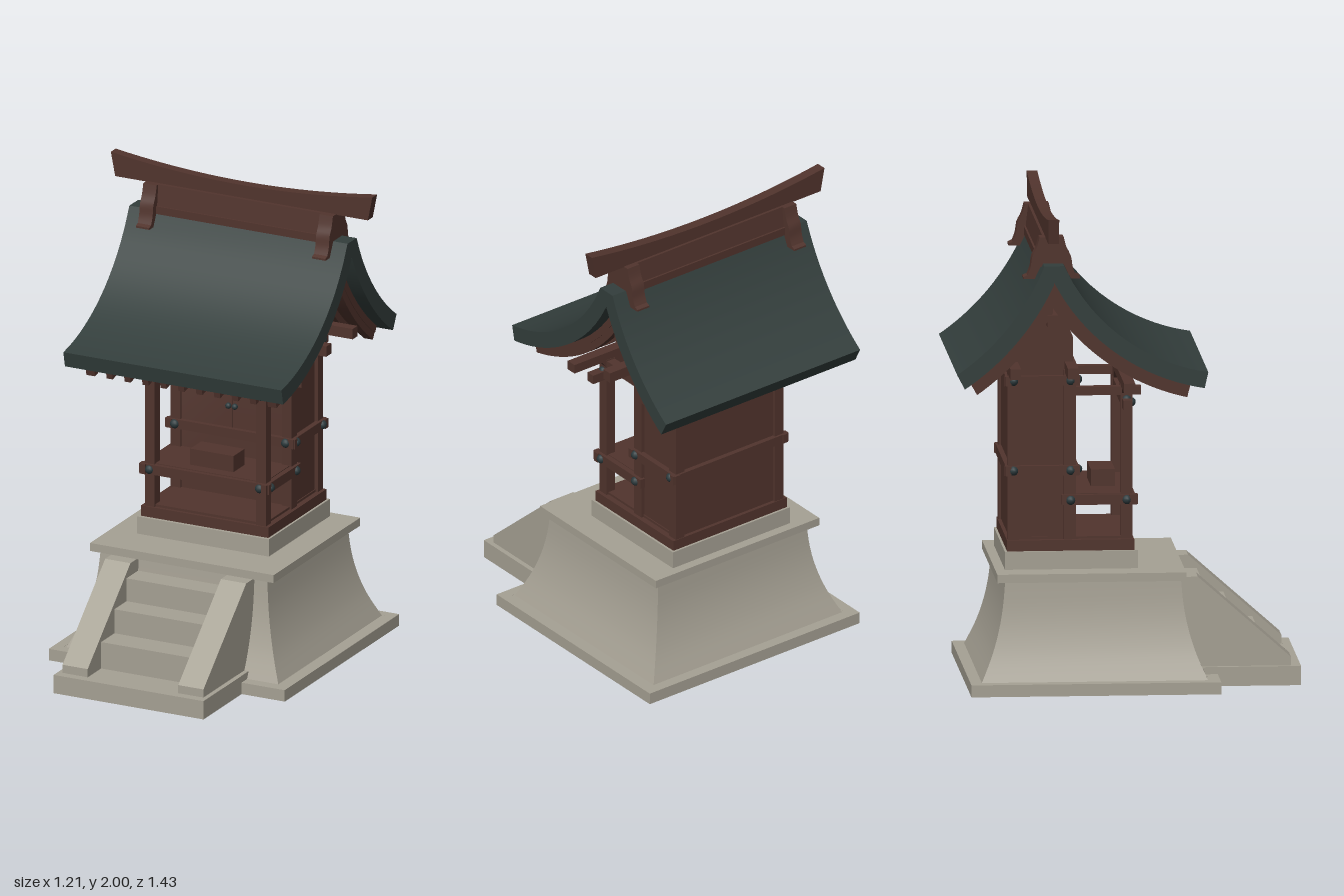
import * as THREE from 'three';
import { toCreasedNormals } from 'three/addons/utils/BufferGeometryUtils.js';

const V = (x, y) => new THREE.Vector2(x, y);
const spline = (pts, n = 12) => new THREE.SplineCurve(pts.map(p => V(...p))).getPoints(n);

// hollow arcs of the roof: centres of curvature in (z, y)
const FRONT = [0.441, 2.111], BACK = [-1.271, 2.157];
const arc = ([cz, cy], r, z0, z1, n = 16) => Array.from({ length: n + 1 }, (_, i) => {
  const z = z0 + (z1 - z0) * i / n;
  return V(z, cy - Math.sqrt(r * r - (z - cz) ** 2));
});
const RIDGE = -0.312;
// layer of the roof from the eave tips to the ridge, between two radii on each side
const layer = (top, under) => [
  ...arc(FRONT, top.rf, top.zf, top.peakF ?? RIDGE), ...arc(BACK, top.rb, top.peakB ?? RIDGE, top.zb),
  ...arc(BACK, under.rb, under.zb, RIDGE), ...arc(FRONT, under.rf, RIDGE, under.zf),
];

export function createModel() {
  const root = new THREE.Group();
  root.name = 'shrine';
  const mat = (name, color) => {
    const m = new THREE.MeshStandardMaterial({ color });
    m.name = name;
    return m;
  };
  const stone = mat('stone', 0xa6a194);
  const wood = mat('redBrownWood', 0x51342d);
  const slate = mat('slateRoof', 0x333e3c);
  const metal = mat('darkMetal', 0x2c3a3d);

  const add = (name, geo, material) => {
    const m = new THREE.Mesh(geo, material);
    m.name = name;
    root.add(m);
    return m;
  };
  // box given by its limits on each axis
  const box = (name, x0, x1, y0, y1, z0, z1, material = wood) => {
    const g = new THREE.BoxGeometry(x1 - x0, y1 - y0, z1 - z0);
    g.translate((x0 + x1) / 2, (y0 + y1) / 2, (z0 + z1) / 2);
    return add(name, g, material);
  };
  // profile in (z, y), extruded along x and centred on x
  const slab = (name, pts, x, width, material = wood) => {
    let g = new THREE.ExtrudeGeometry(new THREE.Shape(pts), { depth: width, bevelEnabled: false });
    g.translate(0, 0, -width / 2);
    g.rotateY(-Math.PI / 2);
    g = toCreasedNormals(g, 0.4);
    g.translate(x, 0, 0);
    return add(name, g, material);
  };
  // rectangular stone frame, open underneath
  const frame = (name, x, z0, z1, height, rim) => {
    const rect = (w, a, b) => [V(-w, -b), V(w, -b), V(w, -a), V(-w, -a)];
    const shape = new THREE.Shape(rect(x, z0, z1));
    shape.holes.push(new THREE.Path(rect(x - rim, z0 + rim, z1 - rim)));
    const g = new THREE.ExtrudeGeometry(shape, { depth: height, bevelEnabled: false });
    g.rotateX(-Math.PI / 2);
    add(name, g, stone);
  };
  const stud = (x, y, z, r = 0.02) => {
    const g = new THREE.SphereGeometry(r, 12, 8);
    g.translate(x, y, z);
    add('stud', g, metal);
  };
  const sides = [-1, 1];

  // --- stone base, hollow below ---
  frame('baseFrame', 0.546, -0.656, 0.376, 0.05, 0.045);
  box('baseFloor', -0.52, 0.52, 0.03, 0.0495, -0.63, 0.35, stone);
  frame('stairFrame', 0.347, 0.376, 0.72, 0.08, 0.035);
  box('stairFloor', -0.346, 0.346, 0.05, 0.0795, 0.2, 0.71, stone);
  box('capSlab', -0.425, 0.425, 0.455, 0.49, -0.54, 0.24, stone);
  box('plinth', -0.305, 0.305, 0.49, 0.565, -0.5, 0.05, stone);

  // flared pedestal: four concave walls
  const flare = spline([[0.49, 0.05], [0.446, 0.15], [0.415, 0.25], [0.396, 0.35], [0.386, 0.455]], 12);
  const corners = [[1, 1], [1, -1], [-1, -1], [-1, 1]];
  for (let s = 0; s < 4; s++) {
    const a = corners[s], b = corners[(s + 1) % 4];
    const pos = [], idx = [];
    flare.forEach((p, i) => {
      for (const c of [a, b]) pos.push(c[0] * p.x, p.y, -0.142 + c[1] * (p.x - 0.023));
      if (i) {
        const k = 2 * i - 2;
        idx.push(k, k + 1, k + 3, k, k + 3, k + 2);
      }
    });
    const g = new THREE.BufferGeometry();
    g.setAttribute('position', new THREE.Float32BufferAttribute(pos, 3));
    g.setIndex(idx);
    g.computeVertexNormals();
    add('pedestalWall', g, stone);
  }

  // stairs and sloping cheeks
  slab('stairs', [V(0.15, 0.07), V(0.56, 0.07), V(0.56, 0.195), V(0.44, 0.195), V(0.44, 0.3),
    V(0.33, 0.3), V(0.33, 0.4), V(0.15, 0.4)], 0, 0.43, stone);
  for (const s of sides)
    slab('stairCheek', [V(0.15, 0.07), V(0.68, 0.07), V(0.68, 0.115), V(0.295, 0.455), V(0.15, 0.455)],
      s * 0.268, 0.117, stone);

  // --- timber hall ---
  box('sill', -0.295, 0.295, 0.565, 0.61, -0.49, 0.035);
  box('floor', -0.27, 0.27, 0.61, 0.62, -0.47, 0.02);
  slab('hallWalls', [V(-0.475, 0.6), V(-0.215, 0.6), V(-0.215, 1.45), V(-0.31, 1.69), V(-0.475, 1.4)], 0, 0.53);
  box('doorSeam', -0.002, 0.002, 0.92, 1.255, -0.216, -0.212);
  for (const s of sides) {
    const x0 = s * 0.2575 - 0.0225, x1 = x0 + 0.045;
    box('hallFrontPost', x0, x1, 0.6, 1.32, -0.255, -0.205);
    box('hallBackPost', x0, x1, 0.6, 1.32, -0.487, -0.44);
    box('porchPost', x0, x1, 0.6, 1.25, -0.02, 0.028);
    box('porchTie', x0 + 0.003, x1 - 0.003, 1.21, 1.245, -0.22, 0.065);
    stud(s * 0.015, 1.015, -0.208, 0.013);
    // bracket under the eave beam
    const br = new THREE.Shape([V(-0.05, 0), V(0.05, 0), V(0.08, 0.04), V(-0.08, 0.04)]);
    const g = new THREE.ExtrudeGeometry(br, { depth: 0.04, bevelEnabled: false });
    g.translate(s * 0.22, 1.205, -0.015);
    add('eaveBracket', g, wood);
  }
  // rails round the hall, with studs at the joints
  for (const y of [0.9, 1.275]) {
    for (const s of sides) {
      box('sideRail', s * 0.281 - 0.012, s * 0.281 + 0.012, y - 0.02, y + 0.02, -0.5, -0.19);
      for (const z of [-0.227, -0.463]) stud(s * 0.288, y, z);
      stud(s * 0.257, y, -0.197);
    }
    box('frontRail', -0.3, 0.3, y - 0.02, y + 0.02, -0.218, -0.194);
    box('backRail', -0.3, 0.3, y - 0.02, y + 0.02, -0.496, -0.472);
  }
  // porch shelf, its rails and the offering box
  box('shelf', -0.27, 0.27, 0.765, 0.8, -0.215, 0.02);
  box('porchFrontRail', -0.3, 0.3, 0.755, 0.797, 0.014, 0.04);
  box('porchHeadBeam', -0.345, 0.345, 1.157, 1.197, -0.014, 0.024);
  box('offeringBox', -0.1, 0.1, 0.8, 0.87, -0.13, -0.03);
  for (const s of sides) {
    box('porchSideRail', s * 0.281 - 0.012, s * 0.281 + 0.012, 0.755, 0.797, -0.265, 0.05);
    for (const z of [0.005, -0.227]) stud(s * 0.288, 0.775, z);
    stud(s * 0.255, 0.775, 0.034);
    stud(s * 0.255, 1.177, 0.024);
    stud(s * 0.277, 1.19, 0.005);
  }

  // --- roof framing ---
  box('eaveBeam', -0.445, 0.445, 1.245, 1.285, -0.018, 0.028);
  box('frontPurlin', -0.44, 0.44, 1.305, 1.35, -0.25, -0.205);
  box('backPurlin', -0.44, 0.44, 1.305, 1.35, -0.487, -0.443);
  box('ridgePurlin', -0.445, 0.445, 1.525, 1.575, -0.335, -0.287);

  // --- curved roof: slates, boarding and rafters ---
  const slateTop = { rf: 0.78, zf: 0.325, peakF: -0.27, rb: 0.99, zb: -0.712, peakB: -0.352 };
  const slateUnder = { rf: 0.848, zf: 0.31, rb: 1.058, zb: -0.68 };
  const boardTop = { rf: 0.847, zf: 0.257, rb: 1.057, zb: -0.655 };
  const boardUnder = { rf: 0.878, zf: 0.25, rb: 1.088, zb: -0.64 };
  const rafterTop = { rf: 0.877, zf: 0.25, rb: 1.087, zb: -0.64 };
  const rafterUnder = { rf: 0.908, zf: 0.243, rb: 1.118, zb: -0.625 };
  slab('roof', layer(slateTop, slateUnder), 0, 1.01, slate);
  slab('roofBoarding', layer(boardTop, boardUnder), 0, 0.885);
  for (const s of sides) slab('bargeboard', layer(rafterTop, rafterUnder), s * 0.42, 0.04);
  for (let i = -4; i <= 4; i++) slab('rafter', layer(rafterTop, rafterUnder), i * 0.083, 0.028);

  // --- ridge ---
  const mirrored = pts => [
    ...pts.map(([d, y]) => V(-0.317 + d, y)),
    ...pts.slice().reverse().map(([d, y]) => V(-0.317 - d, y)),
  ];
  slab('ridgeBoard', mirrored([[0.036, 1.9], [0.046, 1.81], [0.054, 1.81], [0.054, 1.775]]), 0, 0.86);
  // saddle pieces straddling the ridge
  const saddle = spline([[0.05, 1.9], [0.062, 1.855], [0.08, 1.82], [0.087, 1.775], [0.1, 1.742]], 10)
    .map(p => [p.x, p.y]);
  for (const s of sides)
    slab('ridgeSaddle', mirrored([...saddle, [0.117, 1.735], [0.117, 1.727], [0.07, 1.727], [0.04, 1.79]]),
      s * 0.408, 0.062);

  // upswept top beam
  const beam = new THREE.Shape([V(-0.585, 1.897), V(0.585, 1.897),
    ...Array.from({ length: 21 }, (_, i) => {
      const t = 1 - i / 10;
      return V(0.605 * t, 1.955 + 0.045 * t * t);
    })]);
  const bg = new THREE.ExtrudeGeometry(beam, { depth: 0.044, bevelEnabled: false });
  bg.translate(0, 0, -0.342);
  add('topBeam', toCreasedNormals(bg, 0.4), wood);

  return root;
}
